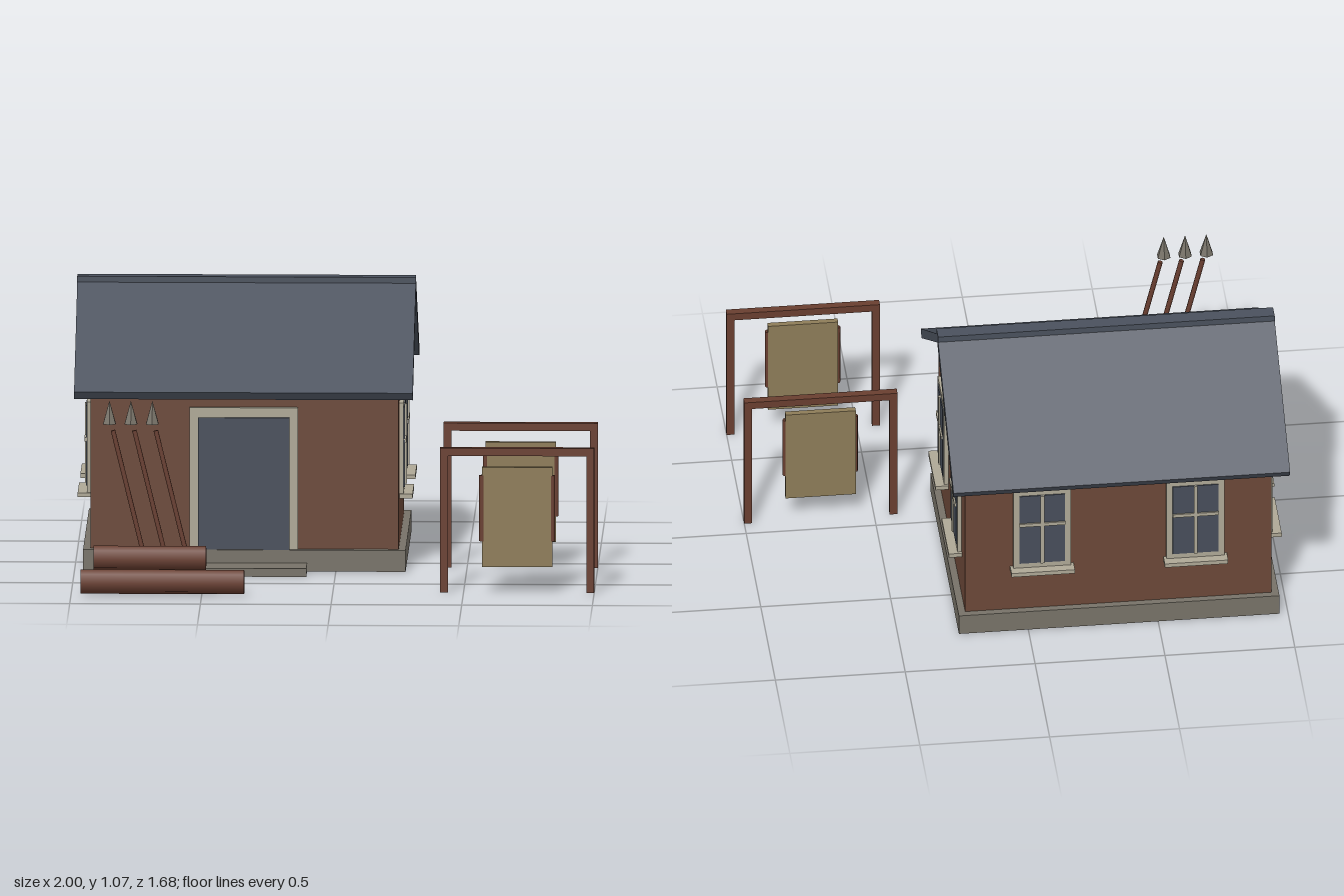
import * as THREE from 'three';

const mat = (name, color) => {
  const m = new THREE.MeshStandardMaterial({ color });
  m.name = name;
  return m;
};

export function createModel() {
  const brick = mat('wall brown', 0x6b4838);
  const wood = mat('red wood', 0x693e30);
  const stone = mat('stone grey', 0x777268);
  const trim = mat('pale trim', 0xaea896);
  const slate = mat('roof slate', 0x4a515d);
  const pane = mat('dark pane', 0x474e5a);
  const cloth = mat('tan cloth', 0x8d7c58);

  const model = new THREE.Group();
  model.name = 'cottageYard';

  const add = (parent, name, geo, material, x = 0, y = 0, z = 0) => {
    const mesh = new THREE.Mesh(geo, material);
    mesh.name = name;
    mesh.position.set(x, y, z);
    parent.add(mesh);
    return mesh;
  };
  // Box given by its minimum and maximum on each axis
  const box = (parent, name, material, [x0, x1], [y0, y1], [z0, z1]) =>
    add(parent, name, new THREE.BoxGeometry(x1 - x0, y1 - y0, z1 - z0), material,
      (x0 + x1) / 2, (y0 + y1) / 2, (z0 + z1) / 2);
  const group = (name, x = 0, y = 0, z = 0) => {
    const g = new THREE.Group();
    g.name = name;
    g.position.set(x, y, z);
    model.add(g);
    return g;
  };
  // Gable profile swept along x from x0 to x1
  const sweep = (points, x0, x1) => {
    const shape = new THREE.Shape(points.map(([a, b]) => new THREE.Vector2(a, b)));
    return new THREE.ExtrudeGeometry(shape, { depth: x1 - x0, bevelEnabled: false })
      .rotateY(Math.PI / 2).translate(x0, 0, 0);
  };

  // House body
  const midX = -0.35, midZ = -0.28, halfW = 0.59, halfD = 0.46;
  const house = group('house');
  box(house, 'foundation', stone, [-0.967, 0.267], [0, 0.083], [-0.767, 0.207]);
  box(house, 'doorStep', stone, [-0.595, -0.11], [0, 0.032], [0.2, 0.338]);
  add(house, 'walls', sweep(
    [[-halfD, 0.08], [halfD, 0.08], [halfD, 0.73], [0, 1.025], [-halfD, 0.73]],
    midX - halfW, midX + halfW), brick, 0, 0, midZ);

  // Roof slopes and ridge
  add(house, 'roof', sweep(
    [[-0.542, 0.674], [0, 1.022], [0.542, 0.674], [0.562, 0.704], [0, 1.062], [-0.562, 0.704]],
    -1, 0.296), slate, 0, 0, midZ);
  box(house, 'ridgeCap', slate, [-1, 0.296], [1.035, 1.067], [-0.31, -0.252]);

  // Door
  box(house, 'doorFrame', trim, [-0.56, -0.145], [0.083, 0.632], [0.17, 0.197]);
  box(house, 'door', pane, [-0.528, -0.178], [0.083, 0.594], [0.18, 0.203]);

  // Windows: built facing +z, then turned onto each wall
  const addWindow = (x, z, angle) => {
    const w = group('window', x, 0, z);
    w.rotation.y = angle;
    box(w, 'windowFrame', trim, [-0.111, 0.111], [0.27, 0.631], [-0.01, 0.016]);
    box(w, 'windowGlass', pane, [-0.088, 0.088], [0.302, 0.612], [0, 0.02]);
    box(w, 'windowUpright', trim, [-0.007, 0.007], [0.302, 0.612], [0, 0.026]);
    box(w, 'windowCrossbar', trim, [-0.088, 0.088], [0.474, 0.488], [0, 0.026]);
    box(w, 'windowSill', trim, [-0.122, 0.122], [0.263, 0.28], [-0.01, 0.051]);
  };
  for (const s of [-1, 1]) {
    addWindow(midX + halfW, midZ + s * halfD / 2, Math.PI / 2);
    addWindow(midX - halfW, midZ + s * halfD / 2, -Math.PI / 2);
    addWindow(midX + s * halfW / 2, midZ - halfD, Math.PI);
  }

  // Hanging racks
  for (const z of [0.082, 0.687]) {
    const rack = group('rack', 0.705, 0, z);
    box(rack, 'rackBeam', wood, [-0.295, 0.295], [0.53, 0.56], [-0.016, 0.016]);
    for (const s of [-1, 1]) {
      add(rack, 'rackPost', new THREE.BoxGeometry(0.03, 0.53, 0.03), wood, s * 0.28, 0.265, 0);
      add(rack, 'sideRod', new THREE.CylinderGeometry(0.011, 0.011, 0.255, 8), wood,
        s * 0.134, 0.327, 0.007);
    }
    box(rack, 'hangingCloth', cloth, [-0.135, 0.135], [0.1, 0.486], [-0.008, 0.016]);
  }

  // Stacked logs
  const logs = group('logPile', 0, 0, 0.795);
  for (const [x0, x1, y] of [[-0.963, -0.337, 0.053], [-0.913, -0.483, 0.145]]) {
    add(logs, 'log', new THREE.CylinderGeometry(0.047, 0.047, x1 - x0, 8).rotateZ(Math.PI / 2),
      wood, (x0 + x1) / 2, y, 0);
  }

  // Leaning spears
  const spears = group('spears', 0, 0, 0.738);
  const tipMat = stone;
  for (let i = 0; i < 3; i++) {
    const x = -0.766 + i * 0.082;
    const shaft = add(spears, 'spearShaft', new THREE.CylinderGeometry(0.01, 0.01, 0.628, 6),
      wood, x, 0.325, 0);
    shaft.rotation.z = 0.24;
    add(spears, 'spearTip', new THREE.ConeGeometry(0.028, 0.09, 6).toNonIndexed(), tipMat,
      x - 0.088, 0.7, 0).geometry.computeVertexNormals();
  }

  return model;
}
